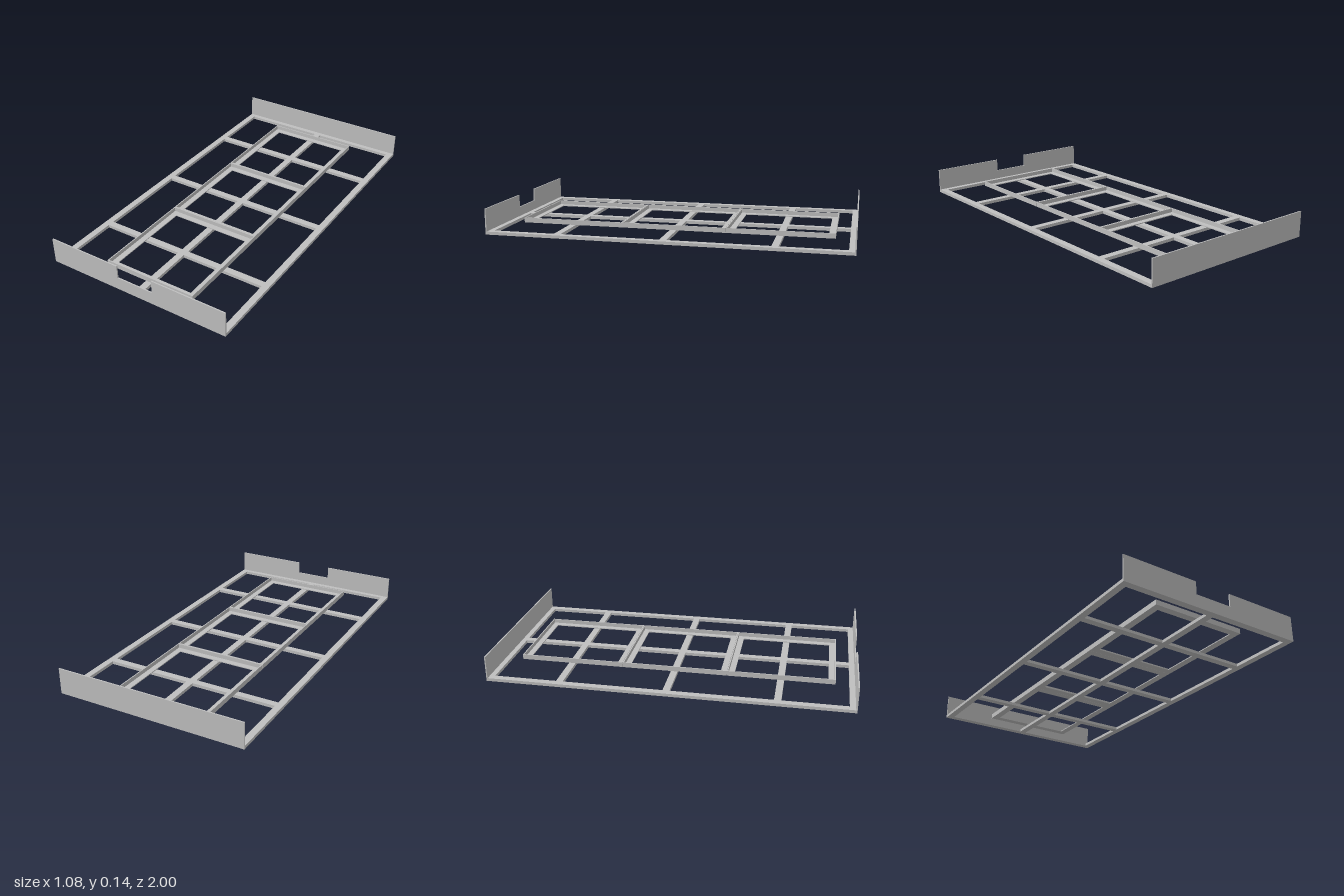
import * as THREE from 'three';

export function createModel() {
  const model = new THREE.Group();
  const grey = new THREE.MeshStandardMaterial({ color: 0xbfbfbf });
  grey.name = 'light grey';

  const rect = (Type, x0, x1, y0, y1) => new Type([
    new THREE.Vector2(x0, y0), new THREE.Vector2(x1, y0),
    new THREE.Vector2(x1, y1), new THREE.Vector2(x0, y1),
  ]);

  // Flat plate with rectangular holes, lying on the ground plane from y upward
  function plate(name, outline, holes, y, height, parent) {
    outline.holes = holes;
    const geo = new THREE.ExtrudeGeometry(outline, { depth: height, bevelEnabled: false });
    geo.rotateX(-Math.PI / 2);
    const mesh = new THREE.Mesh(geo, grey);
    mesh.name = name;
    mesh.position.y = y;
    parent.add(mesh);
  }

  const W = 0.54, BASE = 0.017, HALF_BAR = 0.019, WALL = 0.007;

  // Base grid: two columns by four rows of openings
  const rows = [
    [-0.963, -0.593 - HALF_BAR], [-0.593 + HALF_BAR, -HALF_BAR],
    [HALF_BAR, 0.593 - HALF_BAR], [0.593 + HALF_BAR, 0.963],
  ];
  const openings = [];
  for (const [a, b] of rows) {
    openings.push(rect(THREE.Path, -0.503, -HALF_BAR, a, b));
    openings.push(rect(THREE.Path, HALF_BAR, 0.503, a, b));
  }
  plate('baseFrame', rect(THREE.Shape, -W, W, -1 + WALL, 1 - WALL), openings, 0, BASE, model);

  // Tall end walls; the front one has a central notch
  function endWall(name, points, z) {
    const shape = new THREE.Shape(points.map(([x, y]) => new THREE.Vector2(x, y)));
    const geo = new THREE.ExtrudeGeometry(shape, { depth: WALL, bevelEnabled: false });
    const mesh = new THREE.Mesh(geo, grey);
    mesh.name = name;
    mesh.position.z = z;
    model.add(mesh);
  }
  const H = 0.145, N = 0.108, NY = 0.072;
  endWall('frontWall', [[-W, 0], [W, 0], [W, H], [N, H], [N, NY], [-N, NY], [-N, H], [-W, H]], 1 - WALL);
  endWall('backWall', [[-W, 0], [W, 0], [W, H], [-W, H]], -1);

  // Three open trays: a thin ledge and a low rim around each
  const TX = 0.272, TZ = 0.296, LEDGE = 0.039, RIM = 0.006;
  [-0.593, 0, 0.593].forEach((z, i) => {
    const tray = new THREE.Group();
    tray.name = 'tray' + (i + 1);
    tray.position.set(0, BASE, z);
    plate('ledge', rect(THREE.Shape, -TX, TX, -TZ, TZ),
      [rect(THREE.Path, -TX + LEDGE, TX - LEDGE, -TZ + LEDGE, TZ - LEDGE)], 0, 0.005, tray);
    plate('rim', rect(THREE.Shape, -TX, TX, -TZ, TZ),
      [rect(THREE.Path, -TX + RIM, TX - RIM, -TZ + RIM, TZ - RIM)], 0.005, 0.023, tray);
    model.add(tray);
  });

  return model;
}
